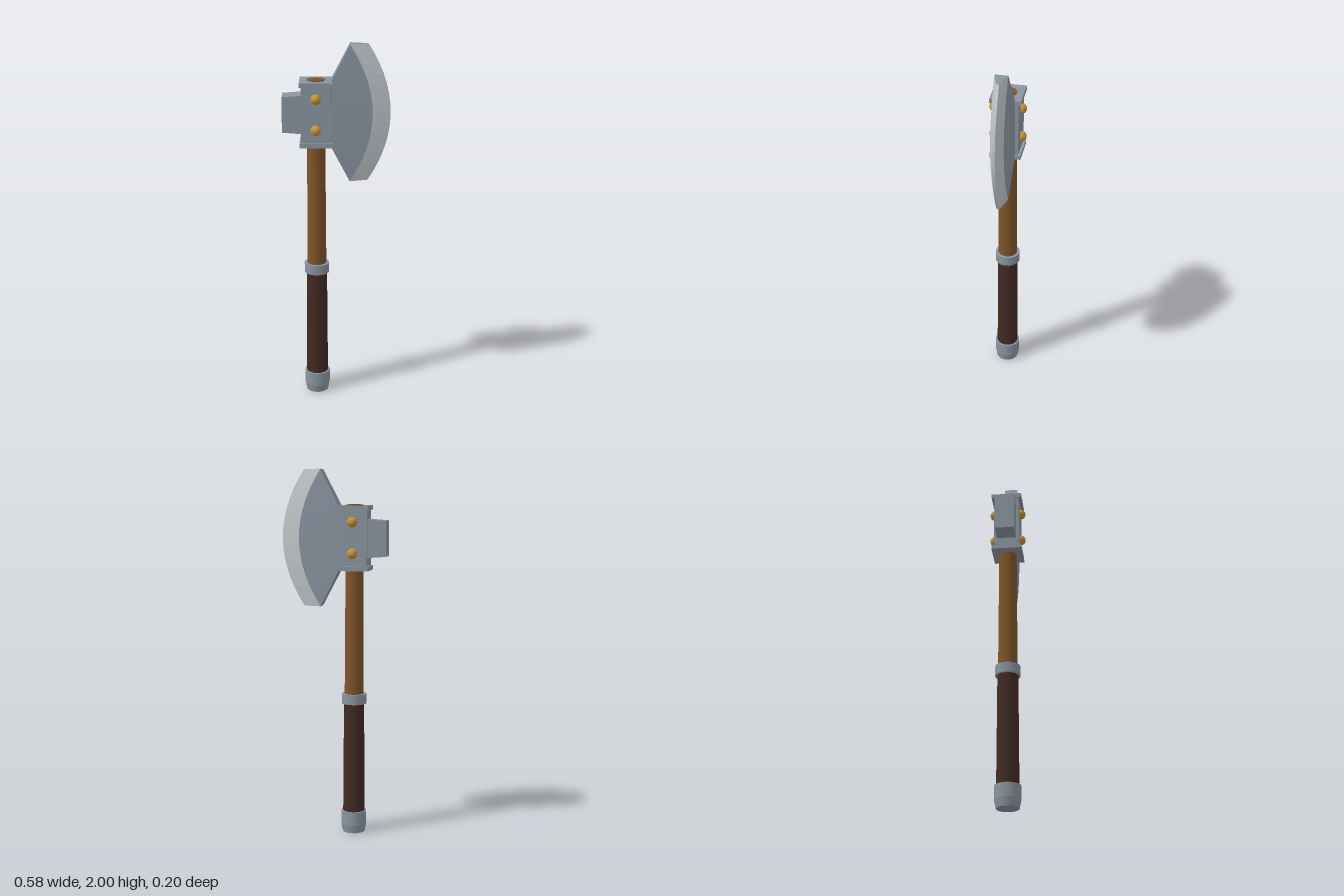
import * as THREE from 'three';

const AXIS = -0.11; // x of the haft
const MID = 1.63;   // height of the head's centre

export function createModel() {
  const group = new THREE.Group();
  group.name = 'axe';

  const mat = (name, color) => {
    const m = new THREE.MeshStandardMaterial({ color });
    m.name = name;
    return m;
  };
  const steel = mat('steel', 0x8a95a1);
  const edgeSteel = mat('sharpened edge', 0xc4c8cc);
  const wood = mat('wood', 0x7f5429);
  const leather = mat('dark leather', 0x412a22);
  const brass = mat('brass', 0xc4943a);

  const add = (name, geometry, material, x, y, z = 0) => {
    const mesh = new THREE.Mesh(geometry, material);
    mesh.name = name;
    mesh.position.set(x, y, z);
    group.add(mesh);
    return mesh;
  };
  // Tapered round part between two heights
  const round = (name, material, y0, y1, r0, r1) =>
    add(name, new THREE.CylinderGeometry(r1, r0, y1 - y0, 20), material, AXIS, (y0 + y1) / 2);

  // Haft, grip and fittings
  round('haft', wood, 0.1, 1.811, 0.056, 0.047);
  round('grip', leather, 0.1, 0.74, 0.06, 0.056);
  round('collar', steel, 0.725, 0.78, 0.068, 0.068);
  round('pommel', steel, 0.045, 0.12, 0.07, 0.07);
  round('pommelTaper', steel, 0, 0.045, 0.061, 0.07);

  // Socket: four walls around the haft, with a rim at each end
  add('socket', new THREE.BoxGeometry(0.158, 0.33, 0.138), steel, AXIS, MID);
  for (const [name, y] of [['upperRim', 1.794], ['lowerRim', 1.469]]) {
    add(name, new THREE.BoxGeometry(0.175, 0.024, 0.166), steel, AXIS, y);
  }

  // Rivets on both cheeks
  for (const z of [-0.072, 0.072]) {
    for (const y of [1.55, 1.718]) {
      add('rivet', new THREE.SphereGeometry(0.028, 16, 12), brass, AXIS, y, z);
    }
  }

  // Poll: block that narrows towards the back
  const poll = new THREE.BoxGeometry(0.12, 0.21, 0.106);
  const p = poll.attributes.position;
  for (let i = 0; i < p.count; i++) if (p.getX(i) < 0) p.setY(i, p.getY(i) * 0.91);
  poll.computeVertexNormals();
  add('poll', poll, steel, -0.23, MID);

  group.add(createBlade(steel, edgeSteel));
  return group;
}

// Blade lofted from horizontal cross-sections: root, shoulder of the bevel, cutting edge
function createBlade(steel, edgeSteel) {
  const N = 14;
  const sections = [];
  for (let i = 0; i <= N; i++) {
    const t = -1 + (2 * i) / N;
    const bow = 0.12 * (1 - t * t);
    const y = MID + 0.37 * t;
    sections.push([
      [-0.04, MID + 0.155 * t, 0.053],
      [0.07 + bow, y, 0.035],
      [0.166 + bow, y, 0.008],
    ]);
  }
  const flip = ([x, y, z]) => [x, y, -z];
  const build = (name, quads, material) => {
    const g = new THREE.BufferGeometry();
    const pos = quads.flatMap(([a, b, c, d]) => [a, b, c, a, c, d]).flat();
    g.setAttribute('position', new THREE.Float32BufferAttribute(pos, 3));
    g.computeVertexNormals();
    const mesh = new THREE.Mesh(g, material);
    mesh.name = name;
    return mesh;
  };

  const cheeks = [], bevels = [];
  for (let i = 0; i < N; i++) {
    const a = sections[i], b = sections[i + 1];
    for (const [list, k] of [[cheeks, 0], [bevels, 1]]) {
      const quad = [a[k], a[k + 1], b[k + 1], b[k]];
      list.push(quad, quad.map(flip).reverse());
    }
    bevels.push([a[2], flip(a[2]), flip(b[2]), b[2]]); // narrow cutting edge
  }
  // Upper and lower ends, and the root face
  const low = sections[0], top = sections[N];
  for (let k = 0; k < 2; k++) {
    cheeks.push([top[k], top[k + 1], flip(top[k + 1]), flip(top[k])]);
    cheeks.push([flip(low[k]), flip(low[k + 1]), low[k + 1], low[k]]);
  }
  cheeks.push([low[0], top[0], flip(top[0]), flip(low[0])]);

  const blade = new THREE.Group();
  blade.name = 'blade';
  blade.add(build('bladeBody', cheeks, steel), build('cuttingEdge', bevels, edgeSteel));
  return blade;
}
